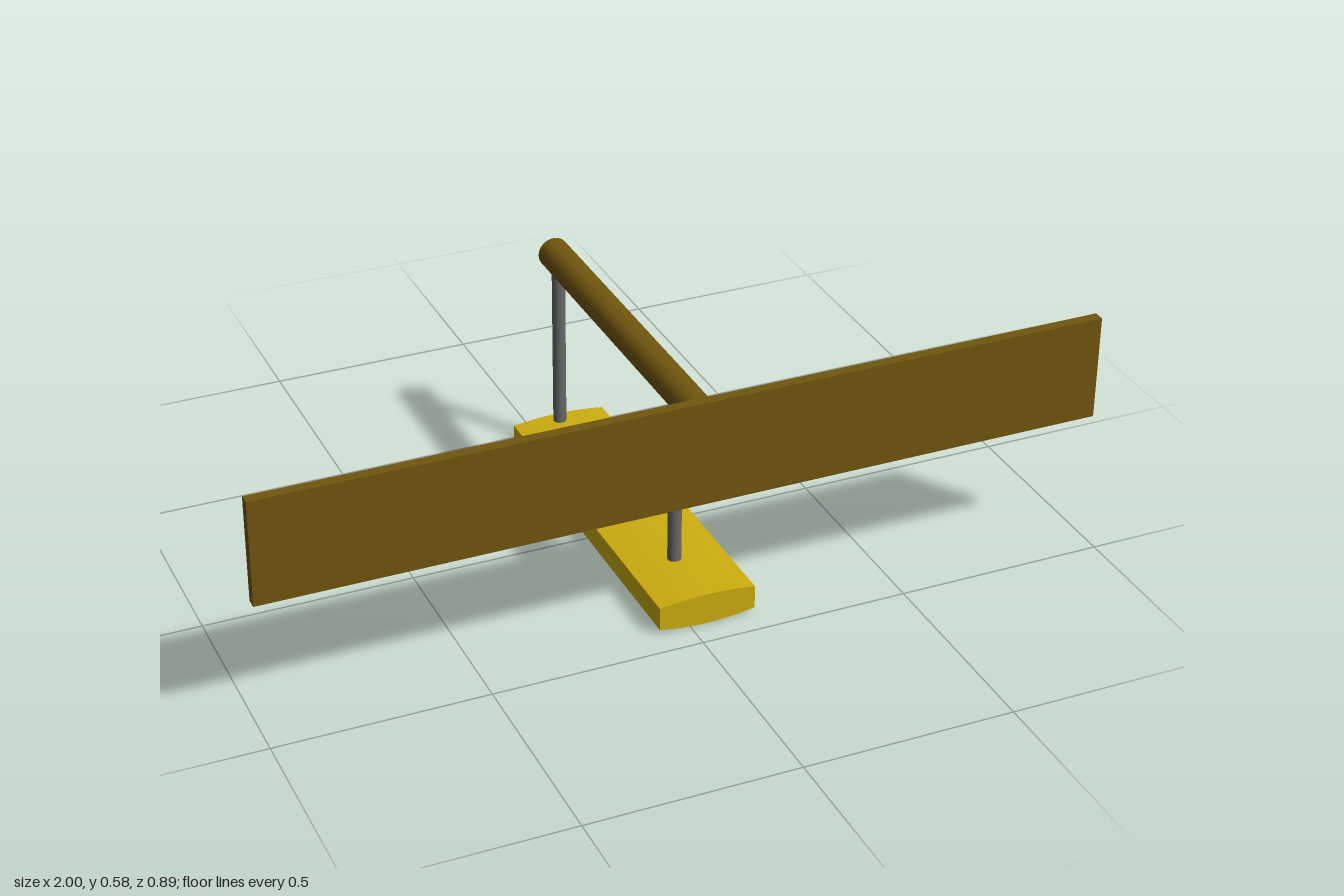
import * as THREE from 'three';

const material = (name, color) => {
  const m = new THREE.MeshStandardMaterial({ color });
  m.name = name;
  return m;
};

export function createModel() {
  const group = new THREE.Group();
  const wood = material('brown wood', 0x72560f);
  const yellow = material('yellow seat', 0xccad0f);
  const steel = material('grey steel', 0x686868);

  const add = (name, geometry, mat) => {
    const mesh = new THREE.Mesh(geometry, mat);
    mesh.name = name;
    group.add(mesh);
    return mesh;
  };

  // Round bar between two points
  const bar = (name, from, to, radius, mat) => {
    const a = new THREE.Vector3(...from), b = new THREE.Vector3(...to);
    const d = b.clone().sub(a);
    const mesh = add(name, new THREE.CylinderGeometry(radius, radius, d.length(), 32), mat);
    mesh.position.copy(a).add(b).multiplyScalar(0.5);
    mesh.quaternion.setFromUnitVectors(new THREE.Vector3(0, 1, 0), d.normalize());
  };

  const cx = 0.034, bottom = 0.325, top = 0.578;

  // Wide board: thin front sheet
  const sheet = add('boardFront', new THREE.BoxGeometry(2, top - bottom, 0.012), wood);
  sheet.position.set(0, (top + bottom) / 2, 0.44);

  // Raised rim and centre stile on the back of the board
  const rect = (Type, x0, y0, x1, y1) => new Type([
    new THREE.Vector2(x0, y0), new THREE.Vector2(x1, y0),
    new THREE.Vector2(x1, y1), new THREE.Vector2(x0, y1),
  ]);
  const rim = 0.017, half = 0.039;
  const frame = rect(THREE.Shape, -1, bottom, 1, top);
  for (const [x0, x1] of [[-1 + rim, cx - half], [cx + half, 1 - rim]]) {
    frame.holes.push(rect(THREE.Path, x0, bottom + rim, x1, top - rim));
  }
  add('boardBackFrame', new THREE.ExtrudeGeometry(frame, { depth: 0.014, bevelEnabled: false }), wood)
    .position.z = 0.42;

  // Overhead beam and diagonal brace
  bar('beam', [cx, 0.521, -0.446], [cx, 0.521, 0.425], 0.038, wood);
  bar('brace', [cx, 0.355, 0.435], [cx, 0.503, 0.287], 0.0145, wood);

  // Hanging posts
  for (const z of [0.266, -0.416]) {
    bar('post', [cx, 0.04, z], [cx, 0.51, z], 0.016, steel);
  }

  // Seat plank with gently bowed top and underside
  const x0 = -0.075, x1 = 0.158, mid = (x0 + x1) / 2;
  const plank = new THREE.Shape();
  plank.moveTo(x0, 0.013);
  plank.quadraticCurveTo(mid, -0.009, x1, 0.013);
  plank.lineTo(x1, 0.069);
  plank.quadraticCurveTo(mid, 0.087, x0, 0.069);
  plank.closePath();
  add('seat', new THREE.ExtrudeGeometry(plank, { depth: 0.878, bevelEnabled: false, curveSegments: 12 }), yellow)
    .position.z = -0.446;

  return group;
}
